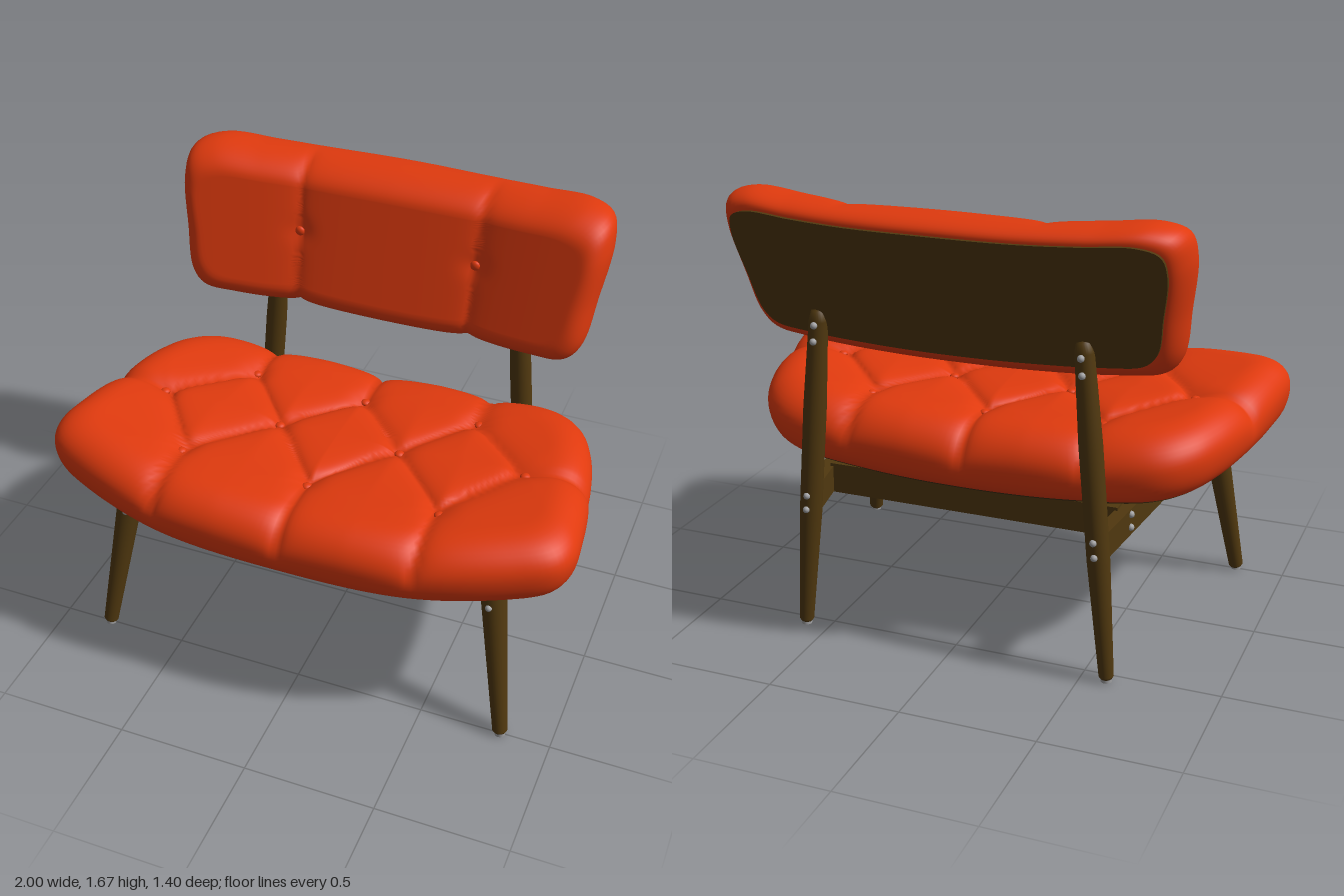
import * as THREE from 'three';

const material = (name, color) => Object.assign(new THREE.MeshStandardMaterial({ color }), { name });

// Skin swept over a closed outline: each ring is [inset, shrink, h]; map turns (u, v, h) into a point.
function skin(outline, rings, size, map, groove = () => 0) {
  const n = 240, [ru, rv, vc] = size;
  const half = outline.slice(1, -1);
  const loop = [...outline, ...half.reverse().map(([u, v]) => [-u, v])];
  const curve = new THREE.CatmullRomCurve3(loop.map(([u, v]) => new THREE.Vector3(u, v, 0)), true);
  curve.arcLengthDivisions = 1000;
  const pts = curve.getSpacedPoints(n).slice(0, n);
  const pos = [], index = [];
  rings.forEach(([inset, shrink, h], i) => {
    pts.forEach((p, j) => {
      const at = d => [p.x * (1 - d / ru) * shrink, vc + (p.y - vc) * (1 - d / rv) * shrink];
      const g = groove(...at(inset)) * THREE.MathUtils.smoothstep(h, 0.1, 0.8);
      const [u, v] = at(inset + 0.02 * g);
      pos.push(...map(u, v, h - 0.13 * g));
      if (i < rings.length - 1) {
        const a = i * n + j, b = i * n + (j + 1) % n;
        index.push(a, a + n, b, b, a + n, b + n);
      }
    });
  });
  const geo = new THREE.BufferGeometry();
  geo.setAttribute('position', new THREE.Float32BufferAttribute(pos, 3));
  geo.setIndex(index);
  geo.computeVertexNormals();
  return geo;
}

// Rounded rim from the lower seam to the upper face, then in to the middle
function cushionRings(low, high) {
  const rings = [];
  for (let i = 0; i <= 22; i++) {
    const a = (-0.5 + i / 22) * Math.PI, s = Math.sin(a);
    rings.push([(s < 0 ? low : high) * (1 - Math.cos(a)), 1, 0.5 + 0.5 * s]);
  }
  for (let i = 1; i <= 44; i++) rings.push([high, 1 - i / 44, 1]);
  return rings;
}

// Thin shell under a cushion
function boardRings(inset, depth) {
  const rings = [];
  for (let i = 0; i <= 12; i++) rings.push([inset, i / 12, -depth]);
  rings.push([inset, 1, -depth], [inset, 1, 0.03]);
  return rings;
}

// Soft crease along line segments, with a deeper pit at each button
function creases(segments, buttons) {
  return (u, v) => {
    let d = 9, r = 9;
    for (const [[ax, ay], [bx, by]] of segments) {
      const dx = bx - ax, dy = by - ay;
      const t = THREE.MathUtils.clamp(((u - ax) * dx + (v - ay) * dy) / (dx * dx + dy * dy), 0, 1);
      d = Math.min(d, Math.hypot(u - ax - t * dx, v - ay - t * dy));
    }
    for (const [x, y] of buttons) r = Math.min(r, Math.hypot(u - x, v - y));
    return 0.45 * Math.exp(-d / 0.02) + 0.65 * Math.exp(-d / 0.1) + 0.45 * Math.exp(-((r / 0.05) ** 2));
  };
}

export function createModel() {
  const model = new THREE.Group();
  const fabric = material('orange red fabric', 0xe03a0e);
  const wood = material('brown wood', 0x50380f);
  const base = material('dark underside', 0x38270c);
  const metal = material('steel', 0xa0a0a2);
  const grey = material('grey panel', 0x6e6e72);

  const add = (name, geo, mat, x = 0, y = 0, z = 0) => {
    const mesh = new THREE.Mesh(geo, mat);
    mesh.name = name;
    mesh.position.set(x, y, z);
    model.add(mesh);
    return mesh;
  };

  // Seat cushion with diamond tufting
  const seatOutline = [[0, -0.47], [0.4, -0.462], [0.72, -0.425], [0.83, -0.34], [0.9, -0.2], [0.96, 0.04],
    [0.993, 0.28], [0.998, 0.42], [0.96, 0.5], [0.83, 0.57], [0.5, 0.665], [0, 0.685]];
  const seatMap = (x, z, h) => [x, 0.615 + 0.05 * z + 0.075 * x * x + 0.253 * h, z];
  const rear = [-0.46, 0, 0.46].map(x => [x, -0.21]);
  const middle = [-0.72, -0.24, 0.24, 0.72].map(x => [x, 0.07]);
  const front = [-0.5, 0, 0.5].map(x => [x, 0.38]);
  const seatButtons = [...rear, ...middle, ...front];
  const seams = [[middle[0], [-1, 0.035]], [middle[3], [1, 0.035]]];
  for (const b of [...rear, ...front]) {
    seams.push([b, [b[0], b[1] < 0 ? -0.5 : 0.7]]);
    for (const m of middle) if (Math.abs(m[0] - b[0]) < 0.35) seams.push([b, m]);
  }
  const seatSize = [1, 0.578, 0.108];
  const seatGroove = creases(seams, seatButtons);
  add('seatCushion', skin(seatOutline, cushionRings(0.07, 0.15), seatSize, seatMap, seatGroove), fabric);
  add('seatBase', skin(seatOutline, boardRings(0.068, 0.03), seatSize, seatMap), base);

  // Backrest cushion: flat middle, wings bent forward, leaning back
  const backOutline = [[0, 1.65], [0.35, 1.65], [0.55, 1.658], [0.74, 1.667], [0.82, 1.635], [0.84, 1.55],
    [0.815, 1.35], [0.785, 1.18], [0.735, 1.12], [0.6, 1.1], [0.3, 1.088], [0, 1.085]];
  const backMap = (x, y, h) => {
    const zBack = -0.53 - 0.36 * (y - 1.12) + 0.12 * x * x;
    const zFront = -0.335 - 0.24 * (y - 1.15) + 0.16 * Math.max(0, Math.abs(x) - 0.35);
    return [x, y, THREE.MathUtils.lerp(zBack, zFront, h)];
  };
  const backButtons = [[-0.35, 1.395], [0.35, 1.395]];
  const backSeams = [-1, 1].map(s => [[s * 0.365, 1.68], [s * 0.345, 1.06]]);
  const backSize = [0.84, 0.29, 1.375];
  const backGroove = creases(backSeams, backButtons);
  const softGroove = (u, v) => 0.6 * backGroove(u, v);
  add('backCushion', skin(backOutline, cushionRings(0.06, 0.085), backSize, backMap, softGroove), fabric);
  add('backPanel', skin(backOutline, boardRings(0.058, 0.06), backSize, backMap), wood);

  // Covered buttons
  const buttonGeo = new THREE.SphereGeometry(0.019, 16, 10);
  for (const [x, z] of seatButtons)
    add('seatButton', buttonGeo, fabric, ...seatMap(x, z, 1 - 0.13 * seatGroove(x, z) + 0.03)).scale.y = 0.6;
  for (const [x, y] of backButtons)
    add('backButton', buttonGeo, fabric, ...backMap(x, y, 1 - 0.13 * softGroove(x, y) + 0.03)).scale.z = 0.6;

  // Turned leg between two points; profile is [radius, fraction of length]
  const leg = (name, from, to, profile) => {
    const a = new THREE.Vector3(...from), dir = new THREE.Vector3(...to).sub(a), len = dir.length();
    const geo = new THREE.LatheGeometry(profile.map(([r, t]) => new THREE.Vector2(r, t * len)), 24);
    add(name, geo, wood, ...from).quaternion.setFromUnitVectors(new THREE.Vector3(0, 1, 0), dir.normalize());
    add(name + 'Glide', new THREE.CylinderGeometry(0.02, 0.02, 0.02, 16), metal, from[0], 0.01, from[2]);
  };
  const beam = (name, from, to, width, height) => {
    const a = new THREE.Vector3(...from), b = new THREE.Vector3(...to);
    const mid = a.clone().add(b).multiplyScalar(0.5);
    add(name, new THREE.BoxGeometry(width, height, a.distanceTo(b)), wood, ...mid).lookAt(b);
  };
  const boltGeo = new THREE.SphereGeometry(0.013, 12, 8);

  for (const s of [-1, 1]) {
    leg('frontLeg', [s * 0.81, 0.012, 0.503], [s * 0.712, 0.655, 0.392],
      [[0, 0], [0.022, 0], [0.028, 0.012], [0.048, 0.9], [0.048, 0.99], [0.044, 1], [0, 1]]);
    leg('backPost', [s * 0.595, 0.012, -0.545], [s * 0.488, 1.26, -0.545],
      [[0, 0], [0.021, 0], [0.027, 0.008], [0.041, 0.36], [0.042, 0.7], [0.034, 0.96], [0.027, 0.99], [0, 1]]);
    beam('sideRail', [s * 0.68, 0.588, 0.36], [s * 0.555, 0.512, -0.53], 0.05, 0.1);

    // Bolts on legs, rails and posts
    for (const y of [0.61, 0.56]) {
      add('legBolt', boltGeo, metal, s * 0.72, y, 0.445 + (0.61 - y) * 0.17);
      add('railBolt', boltGeo, metal, s * 0.695, y, 0.28);
      add('railBolt', boltGeo, metal, s * 0.608, y - 0.05, -0.34);
    }
    for (const y of [0.49, 0.545, 1.14, 1.2])
      add('postBolt', boltGeo, metal, s * (0.595 - 0.086 * y), y, y > 1 ? -0.582 : -0.586);
  }

  // Cross rails
  beam('frontRail', [-0.65, 0.583, 0.28], [0.65, 0.583, 0.28], 0.05, 0.1);
  beam('rearRail', [-0.565, 0.53, -0.34], [0.565, 0.53, -0.34], 0.05, 0.115);

  // Thin panel under the seat
  add('undersidePanel', new THREE.BoxGeometry(0.75, 0.009, 0.37), grey, 0, 0.611, 0.11).rotation.x = -0.05;

  return model;
}
